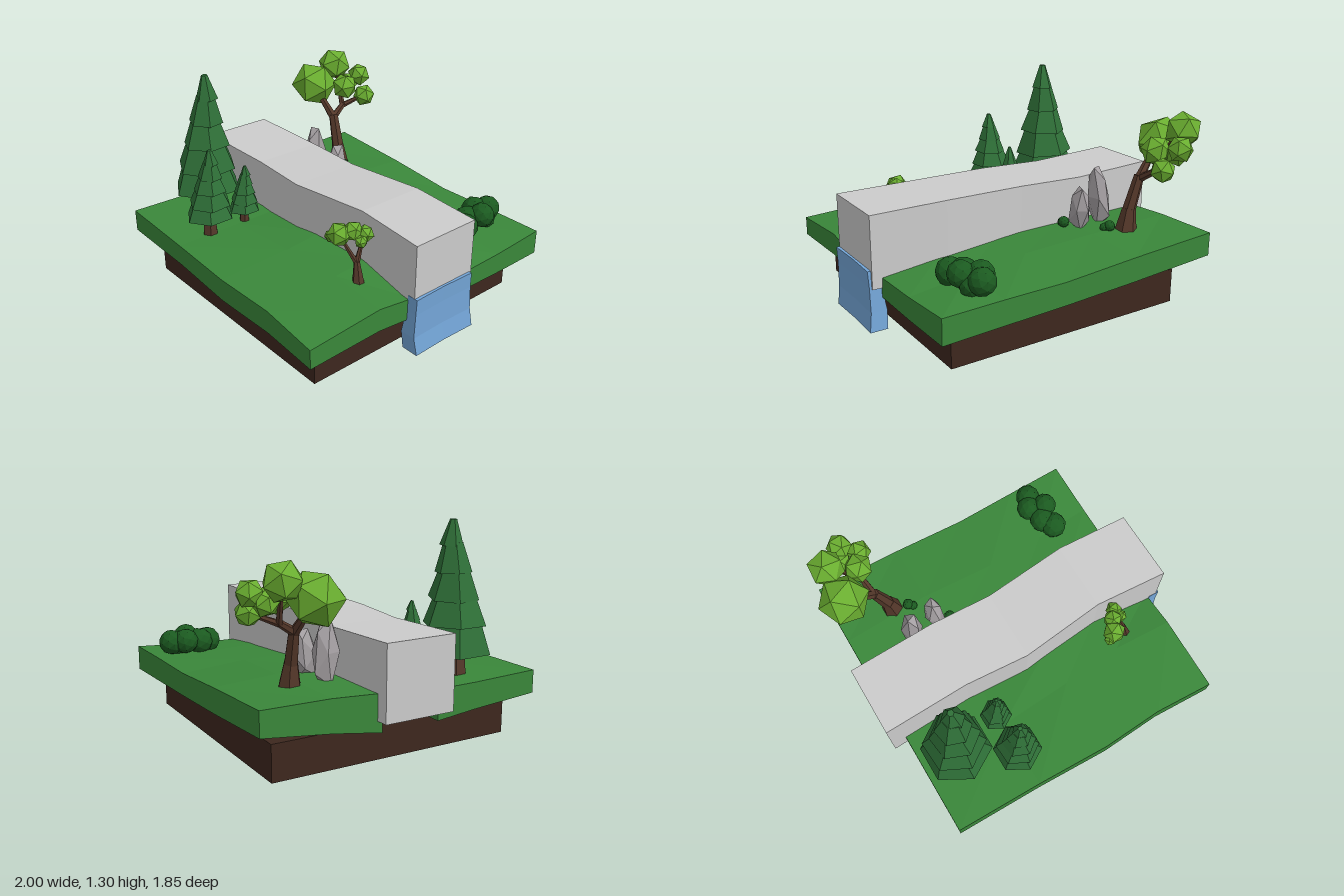
import * as THREE from 'three';

const mat = (color) => new THREE.MeshStandardMaterial({ color, flatShading: true });
const GRASS = mat(0x3a873a), DIRT = mat(0x3d271e), STONE = mat(0xcccccc), WATER = mat(0x74a6d8);
const PINE = mat(0x2f7038), BARK = mat(0x55382a), LEAF = mat(0x6aae30), BUSH = mat(0x1b5a20), ROCK = mat(0xa5a0a3);

const V = (p) => new THREE.Vector3(...p);

function add(parent, name, geometry, material) {
  const mesh = new THREE.Mesh(geometry, material);
  mesh.name = name;
  parent.add(mesh);
  return mesh;
}

// Subdivided box whose grid corners (i, j, k) are placed by a rule
function warpBox(nx, ny, nz, place) {
  const geo = new THREE.BoxGeometry(nx, ny, nz, nx, ny, nz);
  const p = geo.attributes.position;
  for (let n = 0; n < p.count; n++) {
    const i = Math.round(p.getX(n) + nx / 2);
    const j = Math.round(p.getY(n) + ny / 2);
    const k = Math.round(p.getZ(n) + nz / 2);
    p.setXYZ(n, ...place(i, j, k));
  }
  geo.computeVertexNormals();
  return geo;
}

// Uneven slab of ground; rows run from back to front
function bank(parent, name, xs, rows) {
  add(parent, name, warpBox(xs.length - 1, 1, rows.length - 1, (i, j, k) => {
    const r = rows[k];
    return [xs[i], j ? r.top[i] : r.bottom[i], r.z[i]];
  }), GRASS);
}

// Tapered limb between two points
function limb(parent, a, b, r0, r1, name = 'branch') {
  const from = V(a), to = V(b), dir = to.clone().sub(from);
  const m = add(parent, name, new THREE.CylinderGeometry(r1, r0, dir.length(), 6), BARK);
  m.position.copy(from).add(to).multiplyScalar(0.5);
  m.quaternion.setFromUnitVectors(new THREE.Vector3(0, 1, 0), dir.normalize());
}

// Cluster of faceted foliage balls given as [x, y, z, radius]
function blobs(parent, name, list, material, detail = 0) {
  list.forEach(([x, y, z, r], n) => {
    const m = add(parent, name, new THREE.IcosahedronGeometry(r, detail), material);
    m.position.set(x, y, z);
    m.rotation.set(n * 1.3, 0.4 + n * 2.1, n * 0.7);
  });
}

// Six-sided conifer: trunk plus overlapping, slightly tilted tiers
function pine(x, z, ground, base, top, radius, lean) {
  const g = new THREE.Group();
  g.name = 'pine';
  limb(g, [x, ground - 0.02, z], [x, base + 0.05, z], radius * 0.32, radius * 0.24, 'pineTrunk');
  const widths = [1, 0.87, 0.69, 0.5, 0.32, 0.09];
  const step = (top - base) / 5;
  for (let n = 0; n < 5; n++) {
    const last = n === 4;
    const h = step * (last ? 1 : 1.12);
    const topR = radius * widths[n + 1] * (last ? 1 : 0.82);
    const tier = add(g, 'pineTier', new THREE.CylinderGeometry(topR, radius * widths[n], h, 6), PINE);
    tier.position.set(x + (lean * (n + 0.5)) / 5, base + step * n + h / 2, z - (lean * (n + 0.5)) / 10);
    tier.rotation.set(0.03 * Math.sin(n * 2), n * 0.06, 0.04 * Math.cos(n * 3));
  }
  return g;
}

// Jagged boulder: a faceted ball stretched, with its top pulled to a peak
function boulder(parent, [x, y, z], [w, h, d], [px, pz], turn) {
  const geo = new THREE.IcosahedronGeometry(1, 0);
  geo.rotateY(turn);
  const p = geo.attributes.position;
  for (let n = 0; n < p.count; n++) {
    const t = (p.getY(n) + 1) / 2;
    const s = 1.1 - 0.4 * t;
    p.setXYZ(n, p.getX(n) * w * s + px * t, p.getY(n) * h, p.getZ(n) * d * s + pz * t);
  }
  geo.computeVertexNormals();
  add(parent, 'rock', geo, ROCK).position.set(x, y, z);
}

export function createModel() {
  const model = new THREE.Group();
  model.name = 'riverDiorama';

  // Earth plinth
  add(model, 'earthBase', new THREE.BoxGeometry(1.555, 0.215, 1.56), DIRT).position.set(0.007, 0.1075, 0.005);

  // Grass banks either side of the channel
  bank(model, 'frontBank', [-0.91, -0.35, 0.13, 0.53, 0.92], [
    { z: [0.19, 0.18, 0.2, 0.17, 0.19], top: [0.4, 0.4, 0.445, 0.425, 0.365], bottom: [0.215, 0.22, 0.22, 0.22, 0.235] },
    { z: [0.45, 0.47, 0.45, 0.42, 0.44], top: [0.4, 0.4, 0.42, 0.415, 0.4], bottom: [0.24, 0.24, 0.24, 0.24, 0.26] },
    { z: [0.89, 0.9, 0.92, 0.9, 0.92], top: [0.41, 0.4, 0.4, 0.39, 0.365], bottom: [0.27, 0.27, 0.26, 0.25, 0.246] },
  ]);
  bank(model, 'backBank', [-0.925, -0.35, 0.13, 0.53, 0.91], [
    { z: [-0.915, -0.91, -0.9, -0.905, -0.91], top: [0.465, 0.43, 0.39, 0.39, 0.385], bottom: [0.32, 0.28, 0.25, 0.24, 0.23] },
    { z: [-0.5, -0.52, -0.5, -0.52, -0.55], top: [0.46, 0.45, 0.42, 0.39, 0.36], bottom: [0.27, 0.25, 0.24, 0.23, 0.225] },
    { z: [-0.19, -0.19, -0.18, -0.2, -0.19], top: [0.44, 0.44, 0.42, 0.4, 0.35], bottom: [0.22, 0.22, 0.22, 0.22, 0.23] },
  ]);

  // Long winding block filling the channel
  const bx = [-1, -0.45, -0.04, 0.5, 0.97];
  const bTop = [0.73, 0.715, 0.72, 0.74, 0.73];
  const bFront = [0.225, 0.21, 0.245, 0.195, 0.23];
  const bBack = [-0.22, -0.235, -0.21, -0.25, -0.225];
  add(model, 'channelBlock', warpBox(4, 1, 1, (i, j, k) =>
    [bx[i], j ? bTop[i] : 0.29, k ? bFront[i] : bBack[i]]), STONE);

  // Waterfall sheet, as sections from bottom to top
  const fall = [
    { y: 0.035, x: [0.89, 1.0], z: [-0.235, 0.225] },
    { y: 0.15, x: [0.885, 0.985], z: [-0.225, 0.237] },
    { y: 0.3, x: [0.91, 0.985], z: [-0.215, 0.23] },
    { y: 0.4, x: [0.92, 0.99], z: [-0.21, 0.23] },
  ];
  add(model, 'waterfall', warpBox(1, 3, 2, (i, j, k) => {
    const s = fall[j];
    return [s.x[i] - (k === 1 && i ? 0.006 : 0), s.y, s.z[0] + (s.z[1] - s.z[0]) * k / 2];
  }), WATER);

  // Pines
  model.add(pine(-0.69, 0.475, 0.4, 0.54, 1.3, 0.22, 0.04));
  model.add(pine(-0.37, 0.665, 0.415, 0.52, 0.96, 0.15, 0.03));
  model.add(pine(-0.37, 0.41, 0.41, 0.48, 0.78, 0.1, 0.02));

  // Large leafy tree
  const tree = new THREE.Group();
  tree.name = 'largeTree';
  limb(tree, [-0.57, 0.43, -0.56], [-0.59, 0.58, -0.56], 0.07, 0.042, 'trunk');
  limb(tree, [-0.59, 0.57, -0.56], [-0.65, 0.78, -0.57], 0.042, 0.032, 'trunk');
  limb(tree, [-0.65, 0.76, -0.57], [-0.79, 0.93, -0.54], 0.03, 0.018);
  limb(tree, [-0.65, 0.76, -0.57], [-0.67, 0.83, -0.68], 0.026, 0.02);
  limb(tree, [-0.67, 0.82, -0.67], [-0.62, 0.87, -0.79], 0.02, 0.013);
  limb(tree, [-0.67, 0.82, -0.67], [-0.78, 1.03, -0.71], 0.02, 0.012);
  blobs(tree, 'foliage', [
    [-0.83, 0.965, -0.545, 0.158], [-0.83, 1.07, -0.73, 0.115], [-0.7, 1.0, -0.85, 0.08],
    [-0.605, 0.88, -0.815, 0.077], [-0.665, 0.96, -0.685, 0.092], [-0.74, 0.95, -0.78, 0.075],
  ], LEAF);
  model.add(tree);

  // Small leafy tree
  const sapling = new THREE.Group();
  sapling.name = 'smallTree';
  limb(sapling, [0.64, 0.395, 0.345], [0.62, 0.52, 0.34], 0.036, 0.018, 'trunk');
  limb(sapling, [0.62, 0.51, 0.34], [0.595, 0.62, 0.28], 0.017, 0.01);
  limb(sapling, [0.62, 0.51, 0.34], [0.53, 0.62, 0.365], 0.017, 0.01);
  blobs(sapling, 'foliage', [
    [0.51, 0.66, 0.375, 0.073], [0.545, 0.67, 0.305, 0.062], [0.59, 0.655, 0.25, 0.052],
    [0.465, 0.64, 0.4, 0.038], [0.61, 0.63, 0.3, 0.04],
  ], LEAF);
  model.add(sapling);

  // Bushes
  blobs(model, 'bush', [
    [0.6, 0.465, -0.79, 0.08], [0.56, 0.47, -0.71, 0.08], [0.66, 0.48, -0.67, 0.078],
    [0.6, 0.45, -0.6, 0.085], [0.645, 0.44, -0.53, 0.085], [0.63, 0.43, -0.73, 0.07],
  ], BUSH, 1);
  blobs(model, 'smallBush', [
    [-0.475, 0.475, -0.52, 0.035], [-0.45, 0.465, -0.5, 0.028],
    [-0.285, 0.475, -0.31, 0.035], [-0.3, 0.46, -0.275, 0.03],
  ], BUSH, 1);

  // Rocks
  boulder(model, [-0.56, 0.6, -0.33], [0.075, 0.22, 0.095], [0.03, 0.025], 0.3);
  boulder(model, [-0.375, 0.56, -0.34], [0.07, 0.16, 0.09], [0.01, -0.03], 1.1);

  return model;
}
